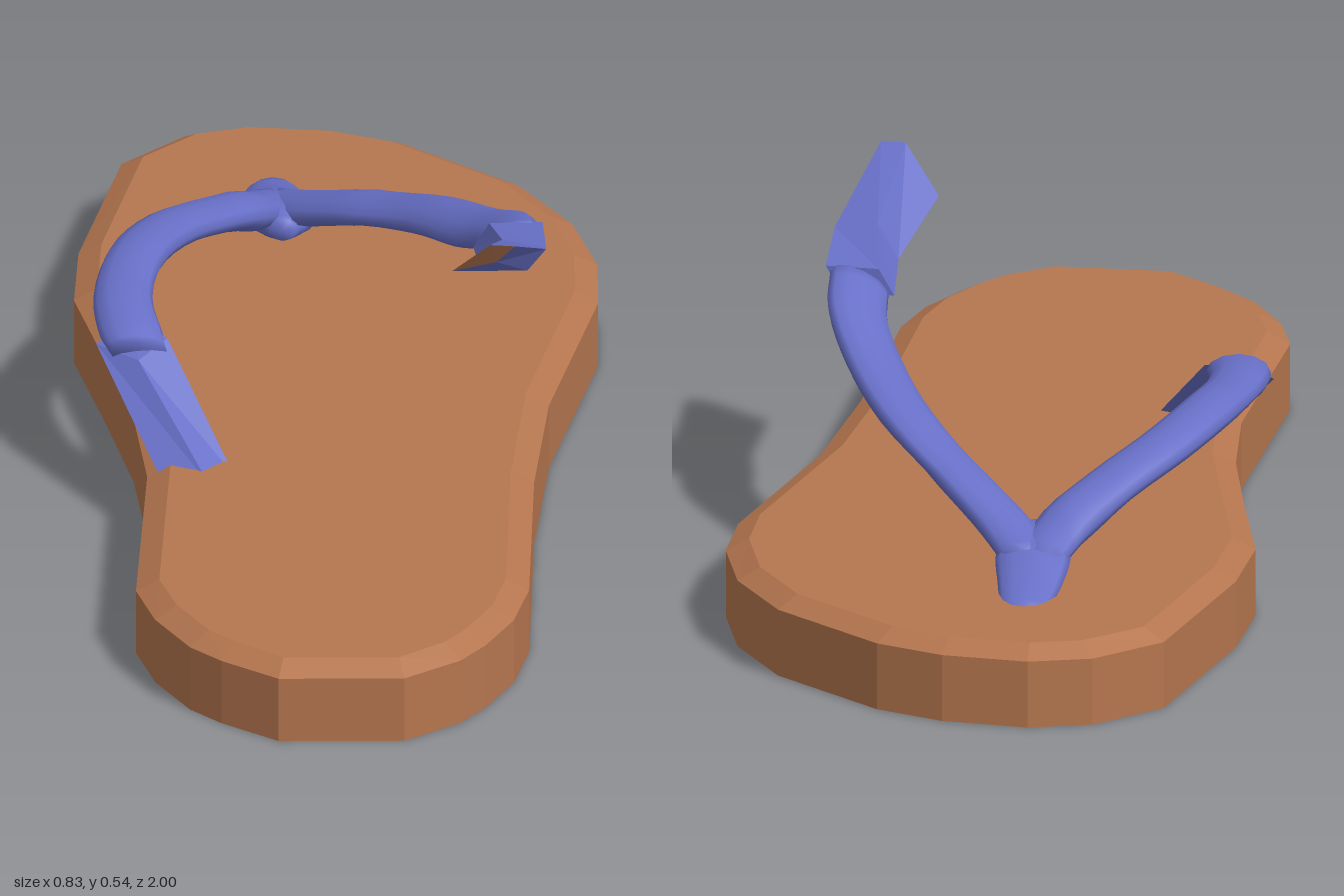
import * as THREE from 'three';

const brown = new THREE.MeshStandardMaterial({ color: 0xb5764f });
brown.name = 'soleBrown';
const blue = new THREE.MeshStandardMaterial({ color: 0x6870c8 });
blue.name = 'strapBlue';

// Skin closed rings of points, counterclockwise around the direction of travel
function skin(rings, flat, capStart = false, capEnd = false) {
  const n = rings[0].length, pos = [], index = [];
  rings.forEach(r => r.forEach(p => pos.push(...p)));
  for (let i = 0; i < rings.length - 1; i++) {
    for (let j = 0; j < n; j++) {
      const a = i * n + j, b = i * n + (j + 1) % n;
      index.push(a, b, a + n, b, b + n, a + n);
    }
  }
  const cap = (ring, offset, flip) => {
    const c = [0, 1, 2].map(k => ring.reduce((s, p) => s + p[k], 0) / n);
    const m = pos.length / 3;
    pos.push(...c);
    for (let j = 0; j < n; j++) {
      const a = offset + j, b = offset + (j + 1) % n;
      index.push(m, flip ? b : a, flip ? a : b);
    }
  };
  if (capStart) cap(rings[0], 0, true);
  if (capEnd) cap(rings[rings.length - 1], (rings.length - 1) * n, false);
  let g = new THREE.BufferGeometry();
  g.setAttribute('position', new THREE.Float32BufferAttribute(pos, 3));
  g.setIndex(index);
  if (flat) g = g.toNonIndexed();
  g.computeVertexNormals();
  return g;
}

// Smooth oval strap; each station is [centre, half-width vector, half-thickness]
function oval(stations, steps = 24, sides = 12) {
  const curve = k => new THREE.CatmullRomCurve3(stations.map(s => new THREE.Vector3(...s[k])));
  const path = curve(0), width = curve(1);
  const thick = curve(2);
  const rings = [];
  for (let i = 0; i <= steps; i++) {
    const t = i / steps, c = path.getPoint(t), w = width.getPoint(t);
    const n = path.getTangent(t).cross(w).setLength(thick.getPoint(t).x);
    rings.push(Array.from({ length: sides }, (_, j) => {
      const a = j / sides * Math.PI * 2;
      return c.clone().addScaledVector(w, Math.cos(a)).addScaledVector(n, Math.sin(a)).toArray();
    }));
  }
  return skin(rings, false, true, true);
}

export function createModel() {
  const group = new THREE.Group();
  const add = (name, geometry, material) => {
    const mesh = new THREE.Mesh(geometry, material);
    mesh.name = name;
    group.add(mesh);
  };

  // Sole: foot outline (x, z) with a chamfered upper edge
  const outline = [
    [-0.14, -1], [0, -0.985], [0.11, -0.94], [0.29, -0.79], [0.375, -0.65], [0.415, -0.5],
    [0.415, -0.36], [0.335, 0.01], [0.31, 0.29], [0.3, 0.68], [0.275, 0.79], [0.23, 0.88],
    [0.19, 0.935], [0.1, 1], [-0.1, 1], [-0.19, 0.935], [-0.24, 0.885], [-0.295, 0.785],
    [-0.325, 0.68], [-0.305, 0.265], [-0.325, 0.06], [-0.37, -0.16], [-0.418, -0.375],
    [-0.41, -0.545], [-0.34, -0.87], [-0.24, -0.97],
  ].reverse();
  const ring = (y, inset) => outline.map(([x, z], j) => {
    const n = outline.length, p = outline[(j + n - 1) % n], q = outline[(j + 1) % n];
    const dx = q[0] - p[0], dz = q[1] - p[1], l = Math.hypot(dx, dz);
    return [x + dz / l * inset, y, z - dx / l * inset];
  });
  add('sole', skin([ring(0, 0), ring(0.11, 0), ring(0.13, 0.037)], true, true, true), brown);

  // Toe tab where both straps meet
  add('toeTab', oval([
    [[-0.1, 0.115, -0.775], [0.036, 0, 0], [0.016, 0, 0]],
    [[-0.1, 0.135, -0.7], [0.05, 0, 0], [0.019, 0, 0]],
    [[-0.095, 0.158, -0.62], [0.06, 0, 0], [0.026, 0, 0]],
    [[-0.088, 0.167, -0.55], [0.055, 0, 0], [0.028, 0, 0]],
    [[-0.085, 0.17, -0.505], [0.02, 0, 0], [0.018, 0, 0]],
  ], 16), blue);

  // Right strap arching back down to the sole
  add('rightStrap', oval([
    [[-0.105, 0.157, -0.63], [0.04, 0, 0.01], [0.024, 0, 0]],
    [[-0.13, 0.185, -0.55], [0.044, 0, 0.02], [0.026, 0, 0]],
    [[-0.19, 0.225, -0.45], [0.042, 0, 0.026], [0.026, 0, 0]],
    [[-0.267, 0.26, -0.325], [0.043, 0, 0.022], [0.026, 0, 0]],
    [[-0.32, 0.28, -0.185], [0.045, 0, 0.014], [0.026, 0, 0]],
    [[-0.342, 0.277, -0.04], [0.047, 0, 0], [0.026, 0, 0]],
    [[-0.33, 0.264, 0.06], [0.05, 0, -0.005], [0.027, 0, 0]],
    [[-0.318, 0.25, 0.1], [0.046, 0, 0], [0.025, 0, 0]],
  ]), blue);
  add('rightStrapEnd', skin([
    [[-0.33, 0.283, 0.045], [-0.272, 0.265, 0.08], [-0.318, 0.245, 0.12], [-0.385, 0.25, 0.07]],
    [[-0.25, 0.115, 0.235], [-0.167, 0.115, 0.27], [-0.205, 0.115, 0.31], [-0.285, 0.115, 0.275]],
  ], true, true, true), blue);

  // Left strap, torn loose and lifted above the sole
  add('leftStrap', oval([
    [[-0.09, 0.157, -0.63], [0.04, 0, -0.01], [0.024, 0, 0]],
    [[-0.045, 0.185, -0.555], [0.04, 0.006, -0.025], [0.025, 0, 0]],
    [[0.04, 0.232, -0.46], [0.036, 0.008, -0.03], [0.024, 0, 0]],
    [[0.15, 0.287, -0.32], [0.04, 0.01, -0.027], [0.024, 0, 0]],
    [[0.22, 0.33, -0.185], [0.044, 0.014, -0.022], [0.024, 0, 0]],
    [[0.262, 0.375, -0.08], [0.046, 0.018, -0.014], [0.024, 0, 0]],
    [[0.272, 0.403, 0.01], [0.046, 0.02, -0.004], [0.024, 0, 0]],
  ]), blue);
  const torn = [[0.18, 0.47, 0.26], [0.25, 0.5, 0.29], [0.28, 0.54, 0.315], [0.24, 0.54, 0.31]];
  add('leftStrapEnd', skin([
    [[0.215, 0.385, 0], [0.3, 0.385, 0], [0.325, 0.43, 0], [0.24, 0.428, 0]],
    [[0.225, 0.407, 0.12], [0.3, 0.412, 0.14], [0.33, 0.45, 0.14], [0.26, 0.462, 0.13]],
    torn,
  ], true, true), blue);

  // Torn face at the loose end
  const face = new THREE.BufferGeometry();
  face.setAttribute('position', new THREE.Float32BufferAttribute(torn.flat(), 3));
  face.setIndex([0, 1, 3, 1, 2, 3]);
  add('tornFace', face.toNonIndexed(), brown);
  group.children.at(-1).geometry.computeVertexNormals();

  return group;
}
